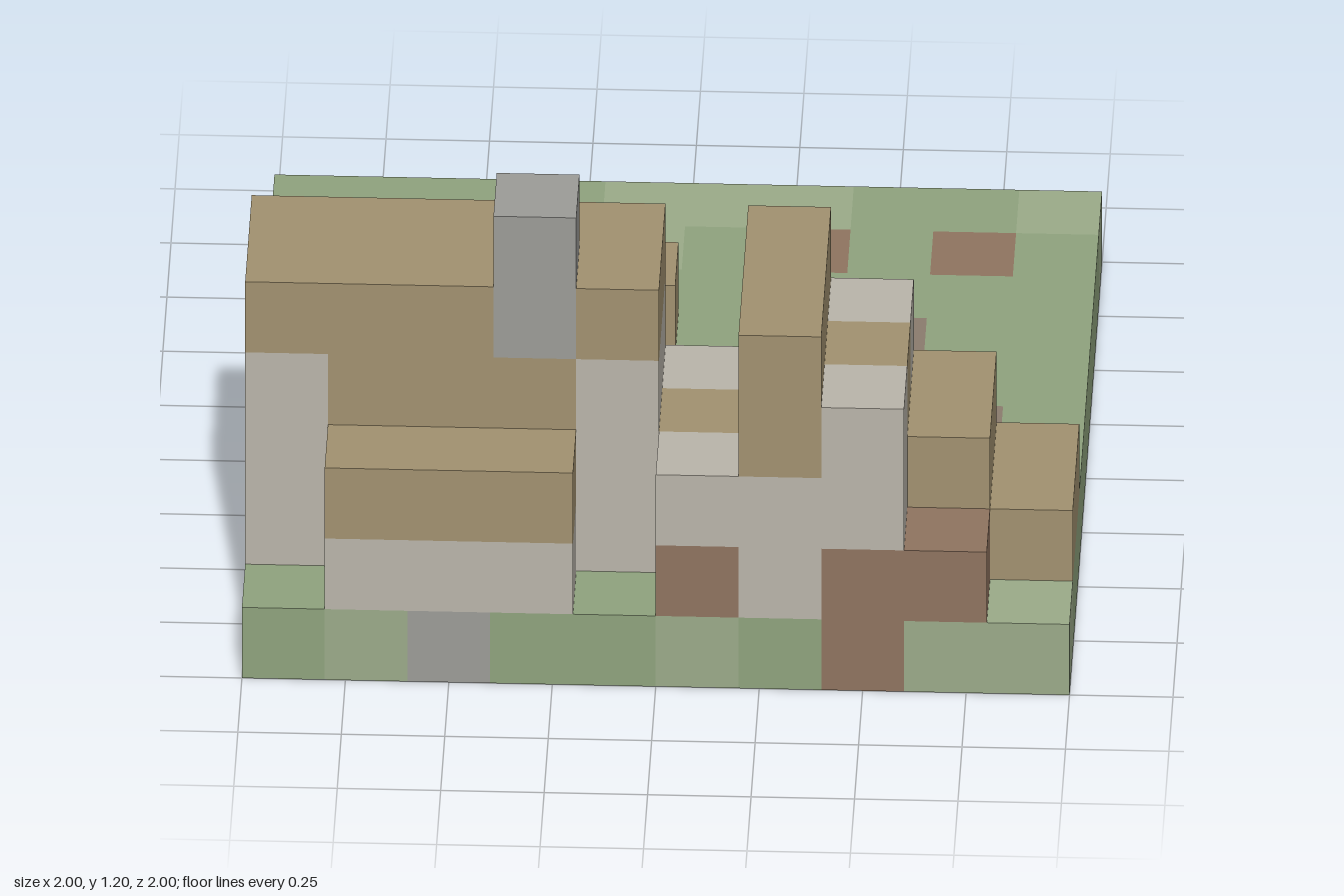
import * as THREE from 'three';
import { mergeGeometries } from 'three/addons/utils/BufferGeometryUtils.js';

const CELL = 0.2;
const COLORS = {
  grass: 0x8fa37e, paleGrass: 0x9bab89, soil: 0x8f7460, path: 0x978264,
  flower: 0xb3a568, pebble: 0x8b7c6e, stone: 0x9c9c98, wall: 0xbab5aa, thatch: 0xa29270,
};

// Ground colours, one row per step from back to front
const GROUND_KEY = { g: 'grass', l: 'paleGrass', s: 'soil', p: 'path', f: 'flower', b: 'pebble', o: 'stone' };
const GROUND = [
  'gggglllggl',
  'gglllgsgsg',
  'slllgggggg',
  'sgpsggfbgg',
  'glsllggggg',
  'spsspgggbg',
  'sgggggggsg',
  'gggggggggg',
  'gggggggggg',
  'glogglgsll',
];

// Solid blocks: part, colour, x range, y range, z range in cells (inclusive); later ones overwrite
const BLOCKS = [
  ['gardenBlock', 'thatch', 1, 1, 1, 1, 3, 3],
  ['gardenBlock', 'thatch', 4, 4, 1, 1, 3, 3],
  // main house
  ['houseWall', 'wall', 0, 4, 1, 3, 7, 8],
  ['houseRoof', 'thatch', 1, 3, 3, 3, 7, 8],
  ['houseRoof', 'thatch', 0, 4, 4, 4, 7, 8],
  ['chimney', 'stone', 3, 3, 4, 5, 8, 8],
  // front and back bays
  ['frontBayWall', 'wall', 1, 3, 1, 1, 9, 9],
  ['frontBayRoof', 'thatch', 1, 3, 2, 2, 9, 9],
  ['backBayWall', 'wall', 1, 3, 1, 1, 6, 6],
  ['backBayRoof', 'thatch', 1, 3, 2, 2, 6, 6],
  ['backDoor', 'soil', 2, 2, 1, 1, 6, 6],
  // stepped side wing
  ['wingWall', 'wall', 5, 5, 1, 2, 7, 9],
  ['wingWall', 'wall', 6, 7, 1, 3, 7, 9],
  ['wingRoof', 'thatch', 5, 5, 2, 2, 8, 8],
  ['wingRoof', 'thatch', 7, 7, 3, 3, 8, 8],
  ['wingRidge', 'thatch', 6, 6, 3, 3, 8, 9],
  ['wingRidge', 'thatch', 6, 6, 4, 4, 7, 9],
  ['wingDoor', 'soil', 5, 5, 1, 1, 9, 9],
  ['wingDoor', 'soil', 7, 8, 1, 1, 9, 9],
  ['wingStep', 'thatch', 8, 8, 1, 2, 7, 8],
  ['wingStep', 'thatch', 9, 9, 1, 1, 7, 8],
];

// Face directions with the turn that aims a plane along each
const FACES = [
  { d: [0, 0, 1], r: [0, 0] },
  { d: [0, 0, -1], r: [0, Math.PI] },
  { d: [1, 0, 0], r: [0, Math.PI / 2] },
  { d: [-1, 0, 0], r: [0, -Math.PI / 2] },
  { d: [0, 1, 0], r: [-Math.PI / 2, 0] },
  { d: [0, -1, 0], r: [Math.PI / 2, 0] },
];

export function createModel() {
  const cells = new Map();
  const key = (x, y, z) => `${x},${y},${z}`;
  const put = (part, color, x, y, z) => cells.set(key(x, y, z), { part, color, x, y, z });

  GROUND.forEach((row, z) => [...row].forEach((c, x) => put('ground', GROUND_KEY[c], x, 0, z)));
  for (const [part, color, x0, x1, y0, y1, z0, z1] of BLOCKS)
    for (let x = x0; x <= x1; x++)
      for (let y = y0; y <= y1; y++)
        for (let z = z0; z <= z1; z++) put(part, color, x, y, z);

  // Collect exposed faces per part and colour; the underside stays open
  const batches = new Map();
  for (const { part, color, x, y, z } of cells.values()) {
    for (const { d, r } of FACES) {
      if (cells.has(key(x + d[0], y + d[1], z + d[2])) || y + d[1] < 0) continue;
      const face = new THREE.PlaneGeometry(CELL, CELL).rotateX(r[0]).rotateY(r[1]);
      face.translate(
        (x - 4.5 + d[0] / 2) * CELL,
        (y + 0.5 + d[1] / 2) * CELL,
        (z - 4.5 + d[2] / 2) * CELL,
      );
      const id = `${part}/${color}`;
      if (!batches.has(id)) batches.set(id, { part, color, faces: [] });
      batches.get(id).faces.push(face);
    }
  }

  const materials = {};
  for (const name in COLORS)
    materials[name] = new THREE.MeshStandardMaterial({ color: COLORS[name], side: THREE.DoubleSide });

  const model = new THREE.Group();
  model.name = 'cottage';
  for (const { part, color, faces } of batches.values()) {
    const mesh = new THREE.Mesh(mergeGeometries(faces), materials[color]);
    mesh.name = part === 'ground' ? `ground ${color}` : part;
    model.add(mesh);
  }
  return model;
}
